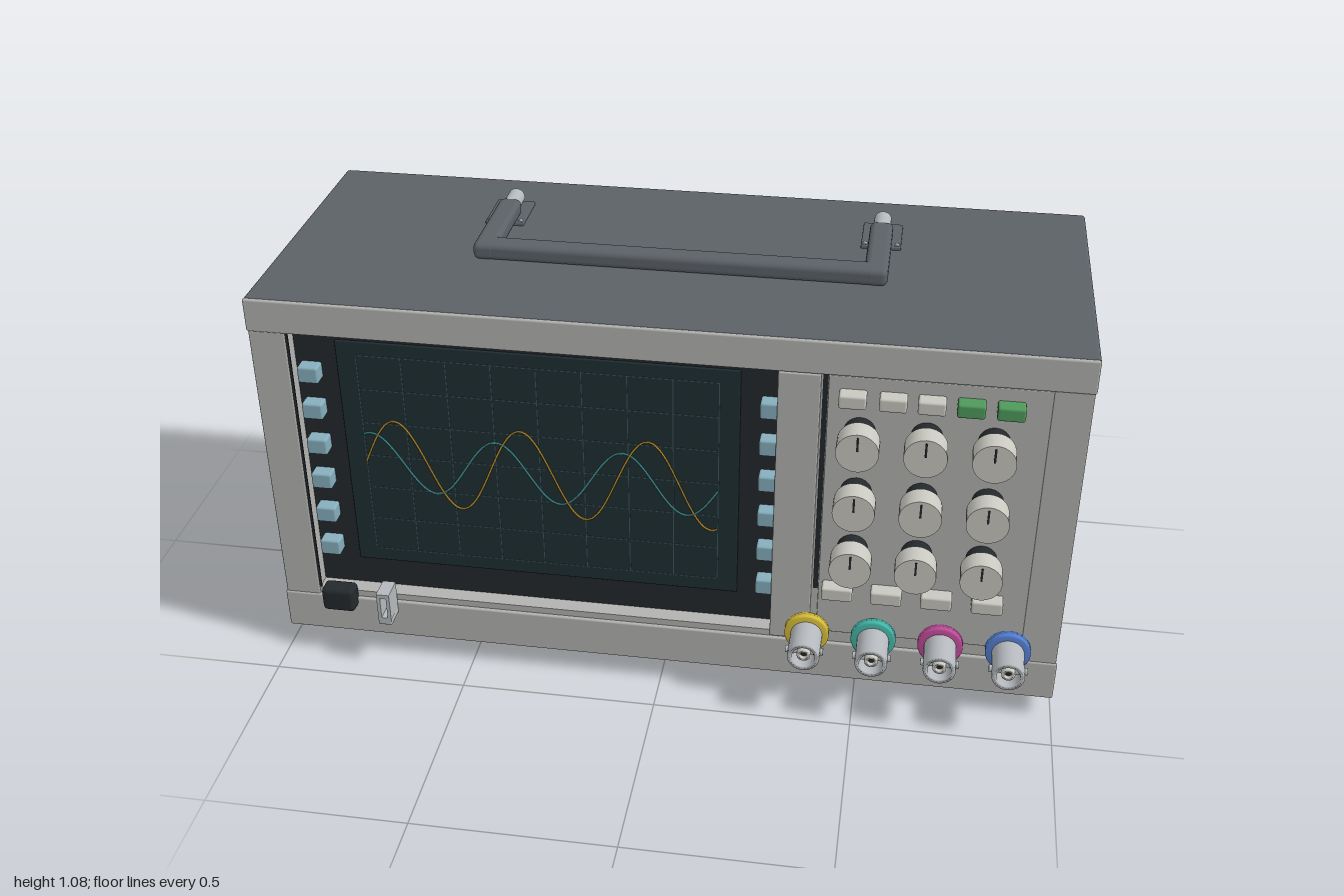
import * as THREE from 'three';
import { RoundedBoxGeometry } from 'three/addons/geometries/RoundedBoxGeometry.js';

const mat = (color) => new THREE.MeshStandardMaterial({ color });
const CASE = mat(0x5c6167), DARK = mat(0x24292d), BEZEL = mat(0xb2b2b0), PLASTIC = mat(0xc9c8c0),
  METAL = mat(0xb4b8bc), GLASS = mat(0x1f2e33), GRID = mat(0x39555c), KEY = mat(0x86aebd),
  GREEN = mat(0x4f9a5c), YELLOW = mat(0xb8912f), TEAL = mat(0x3f8f92);

export function createModel() {
  const root = new THREE.Group();
  root.name = 'benchOscilloscope';

  const add = (name, geo, m, x, y, z, parent = root) => {
    const mesh = new THREE.Mesh(geo, m);
    mesh.name = name;
    mesh.position.set(x, y, z);
    parent.add(mesh);
    return mesh;
  };
  // Box given by its size and centre, with optional rounded edges
  const box = (name, m, w, h, d, x, y, z, r = 0, parent = root) =>
    add(name, r ? new RoundedBoxGeometry(w, h, d, 2, r) : new THREE.BoxGeometry(w, h, d), m, x, y, z, parent);
  // Cylinder along z from z0 to z1
  const rod = (name, m, r, z0, z1, x, y, parent = root, sides = 28) =>
    add(name, new THREE.CylinderGeometry(r, r, Math.abs(z1 - z0), sides).rotateX(Math.PI / 2), m, x, y, (z0 + z1) / 2, parent);
  // Hollow solid of revolution along +z from a [radius, z] profile
  const turned = (name, m, pts, x, y, z, parent = root) =>
    add(name, new THREE.LatheGeometry(pts.map(([r, h]) => new THREE.Vector2(r, h)), 28).rotateX(Math.PI / 2),
      m, x, y, z, parent);
  const rect = (T, x0, y0, x1, y1) => {
    const s = new T();
    s.moveTo(x0, y0); s.lineTo(x1, y0); s.lineTo(x1, y1); s.lineTo(x0, y1); s.closePath();
    return s;
  };
  // Rectangular plate with one rectangular opening
  const framed = (name, m, outer, hole, depth, z, parent = root, x = 0, y = 0) => {
    const s = rect(THREE.Shape, ...outer);
    s.holes.push(rect(THREE.Path, ...hole));
    return add(name, new THREE.ExtrudeGeometry(s, { depth, bevelEnabled: false }), m, x, y, z, parent);
  };

  // Case plates
  box('topPlate', CASE, 2, 0.032, 0.785, 0, 1.014, -0.008, 0.01);
  box('bottomPlate', CASE, 2, 0.032, 0.785, 0, 0.071, -0.008, 0.01);
  box('backPanel', CASE, 1.95, 0.9, 0.028, 0, 0.54, -0.388, 0.01);

  // Vented side walls
  for (const s of [-1, 1]) {
    const side = new THREE.Group();
    side.name = s > 0 ? 'leftVentWall' : 'rightVentWall';
    root.add(side);
    const x = s * 0.965;
    box('frontColumn', CASE, 0.05, 0.915, 0.075, x, 0.542, 0.283, 0, side);
    box('rearColumn', CASE, 0.05, 0.915, 0.072, x, 0.542, -0.319, 0, side);
    box('upperRail', CASE, 0.046, 0.09, 0.53, x, 0.955, -0.019, 0, side);
    box('lowerRail', CASE, 0.046, 0.085, 0.53, x, 0.127, -0.019, 0, side);
    for (let i = 0; i < 12; i++) box('slat', CASE, 0.04, 0.75, 0.014, x, 0.54, 0.215 - i * 0.0425, 0, side);
  }

  // Cooling fan inside the left vent
  const fan = new THREE.Group();
  fan.name = 'coolingFan';
  fan.rotation.y = Math.PI / 2;
  fan.position.set(0.9, 0.54, -0.037);
  root.add(fan);
  rod('fanDisc', DARK, 0.247, -0.03, 0, 0, 0, fan, 48);
  rod('fanHub', CASE, 0.055, 0, 0.032, 0, 0, fan);
  for (let i = 0; i < 7; i++) {
    const pivot = new THREE.Group();
    pivot.name = 'fanBlade';
    pivot.rotation.z = (i * Math.PI * 2) / 7;
    fan.add(pivot);
    box('blade', CASE, 0.16, 0.045, 0.012, 0.125, 0, 0.014, 0.004, pivot).rotation.x = 0.3;
  }
  for (const sx of [-1, 1]) for (const sy of [-1, 1])
    rod('fanScrew', CASE, 0.014, 0, 0.088, sx * 0.133, sy * 0.155, fan, 16);

  // Front bezel with screen opening, capped by top and bottom lips
  const opening = [-0.905, 0.185, 0.28, 0.942];
  framed('frontBezel', BEZEL, [-0.996, 0.084, 0.996, 1.0], opening, 0.062, 0.32);
  box('upperLip', BEZEL, 1.998, 0.086, 0.012, 0, 0.986, 0.386, 0.005);
  box('lowerLip', BEZEL, 1.998, 0.11, 0.012, 0, 0.113, 0.386, 0.005);
  for (const s of [-1, 1]) box('sidePost', BEZEL, 0.09, 0.78, 0.008, s * 0.951, 0.555, 0.384, 0.003);
  box('screenLedge', BEZEL, 1.18, 0.018, 0.03, -0.31, 0.176, 0.367);
  box('dividerPost', BEZEL, 0.1, 0.77, 0.01, 0.33, 0.555, 0.383, 0.004);
  box('panelGroove', DARK, 0.012, 0.61, 0.004, 0.39, 0.635, 0.382);
  box('screenGroove', DARK, 0.01, 0.75, 0.004, -0.905, 0.563, 0.382);
  box('controlPanel', BEZEL, 0.51, 0.74, 0.006, 0.652, 0.57, 0.383, 0.002);

  // Recessed display with graticule and traces
  const display = new THREE.Group();
  display.name = 'display';
  root.add(display);
  box('screenSurround', DARK, 1.2, 0.77, 0.02, -0.312, 0.562, 0.33, 0, display);
  box('screenGlass', GLASS, 0.99, 0.645, 0.008, -0.305, 0.588, 0.342, 0.003, display);
  for (let i = 0; i <= 8; i++) box('gridColumn', GRID, 0.002, 0.57, 0.001, -0.75 + i * 0.1112, 0.588, 0.3465, 0, display);
  for (let i = 0; i <= 6; i++) box('gridRow', GRID, 0.89, 0.002, 0.001, -0.305, 0.303 + i * 0.095, 0.3465, 0, display);
  const trace = (name, m, mid, amp, peak, z) => {
    const pts = [];
    for (let i = 0; i <= 60; i++) {
      const x = -0.75 + (i / 60) * 0.89;
      pts.push(new THREE.Vector3(x, mid + amp * Math.cos(((x - peak) / 0.318) * Math.PI * 2), z));
    }
    add(name, new THREE.TubeGeometry(new THREE.CatmullRomCurve3(pts), 150, 0.0028, 5), m, 0, 0, 0, display);
  };
  trace('yellowTrace', YELLOW, 0.573, 0.122, -0.67, 0.349);
  trace('tealTrace', TEAL, 0.573, 0.083, -0.415, 0.348);

  // Soft keys on both sides of the screen
  for (const x of [-0.866, 0.265]) for (let i = 0; i < 6; i++)
    box('softKey', KEY, 0.052, 0.044, 0.04, x, 0.823 - i * 0.1025, 0.357, 0.006);

  // Control knobs
  for (const x of [0.475, 0.63, 0.785]) for (const y of [0.797, 0.63, 0.465]) {
    const knob = new THREE.Group();
    knob.name = 'controlKnob';
    knob.position.set(x, y, 0.384);
    root.add(knob);
    rod('knobCollar', DARK, 0.037, 0, 0.05, 0, 0, knob);
    rod('knobGrip', PLASTIC, 0.05, 0.046, 0.102, 0, 0, knob, 32);
    box('knobPointer', DARK, 0.005, 0.036, 0.004, 0, 0.024, 0.1025, 0, knob);
  }

  // Push buttons
  [0.455, 0.548, 0.636, 0.725, 0.815].forEach((x, i) =>
    box('menuButton', i > 2 ? GREEN : PLASTIC, 0.064, 0.035, 0.04, x, 0.891, 0.403, 0.006));
  for (const x of [0.445, 0.565, 0.687, 0.81])
    box('channelButton', PLASTIC, 0.076, 0.037, 0.04, x, 0.342, 0.404, 0.006);
  box('powerButton', DARK, 0.086, 0.068, 0.05, -0.845, 0.176, 0.4, 0.012);

  // Coaxial connector pointing along +z
  const coax = (name, r, len, ring) => {
    const g = new THREE.Group();
    g.name = name;
    root.add(g);
    if (ring) turned('colourRing', mat(ring), [[0.03, 0], [0.056, 0], [0.056, 0.016], [0.052, 0.02], [0.03, 0.02]], 0, 0, 0, g);
    turned('barrel', METAL, [[r, 0], [r, len], [r * 0.72, len], [r * 0.72, len - 0.04], [0, len - 0.04]], 0, 0, 0, g);
    turned('innerSleeve', PLASTIC, [[r * 0.42, len - 0.04], [r * 0.42, len - 0.008], [r * 0.2, len - 0.008], [r * 0.2, len - 0.04]], 0, 0, 0, g);
    rod('centrePin', DARK, r * 0.2, len - 0.04, len - 0.015, 0, 0, g, 12);
    const lug = add('bayonetLugs', new THREE.CylinderGeometry(0.009, 0.009, 2 * r + 0.014, 12), METAL, 0, 0, len - 0.028, g);
    lug.rotation.z = Math.PI / 2;
    return g;
  };
  [0xd9bf3a, 0x45b9ab, 0xc24d9b, 0x5580d4].forEach((c, i) =>
    coax('inputConnector', 0.04, 0.11, c).position.set(0.375 + i * 0.1665, 0.2, 0.388));
  for (const y of [0.705, 0.545, 0.385]) {
    const c = coax('rearConnector', 0.035, 0.095);
    c.position.set(-0.77, y, -0.4);
    c.rotation.y = Math.PI;
  }

  // Probe test clip
  box('clipBase', METAL, 0.036, 0.018, 0.06, -0.712, 0.143, 0.42, 0.004);
  framed('clipLoop', METAL, [-0.017, -0.04, 0.017, 0.045], [-0.008, -0.028, 0.008, 0.033], 0.06, 0.39, root, -0.712, 0.185);

  // Rear sockets and screws
  framed('dataSocket', METAL, [-0.058, -0.055, 0.058, 0.055], [-0.03, -0.03, 0.03, 0.03], 0.055, -0.41, root, 0.69, 0.805);
  box('dataSocketCore', DARK, 0.062, 0.062, 0.006, 0.69, 0.805, -0.403);
  framed('powerInlet', DARK, [-0.088, -0.07, 0.088, 0.07], [-0.06, -0.042, 0.06, 0.042], 0.055, -0.41, root, 0.69, 0.27);
  box('powerInletCore', mat(0x111417), 0.122, 0.086, 0.004, 0.69, 0.27, -0.403);
  for (const x of [-0.9, 0.9]) for (const y of [0.187, 0.903]) rod('rearScrew', METAL, 0.016, -0.4, -0.416, x, y, root, 16);

  // Carrying handle lying on the top plate
  const handle = new THREE.Group();
  handle.name = 'carryHandle';
  root.add(handle);
  box('crossBar', CASE, 1.02, 0.044, 0.058, 0, 1.053, 0.077, 0.015, handle);
  for (const s of [-1, 1]) {
    box('handleArm', CASE, 0.058, 0.044, 0.29, s * 0.481, 1.053, -0.038, 0.015, handle);
    rod('hingePin', METAL, 0.022, -0.17, -0.242, s * 0.481, 1.052, handle, 20);
    box('hingePlate', CASE, 0.1, 0.01, 0.14, s * 0.483, 1.033, -0.178, 0.003, handle);
    for (const t of [-1, 1]) rod('hingeScrew', METAL, 0.006, -0.115, -0.127, s * 0.483 + t * 0.04, 1.036, handle, 10);
  }

  // Rubber feet
  for (const x of [-0.675, 0.67]) for (const z of [0.207, -0.237])
    box('foot', DARK, 0.158, 0.062, 0.118, x, 0.031, z, 0.012);

  return root;
}
